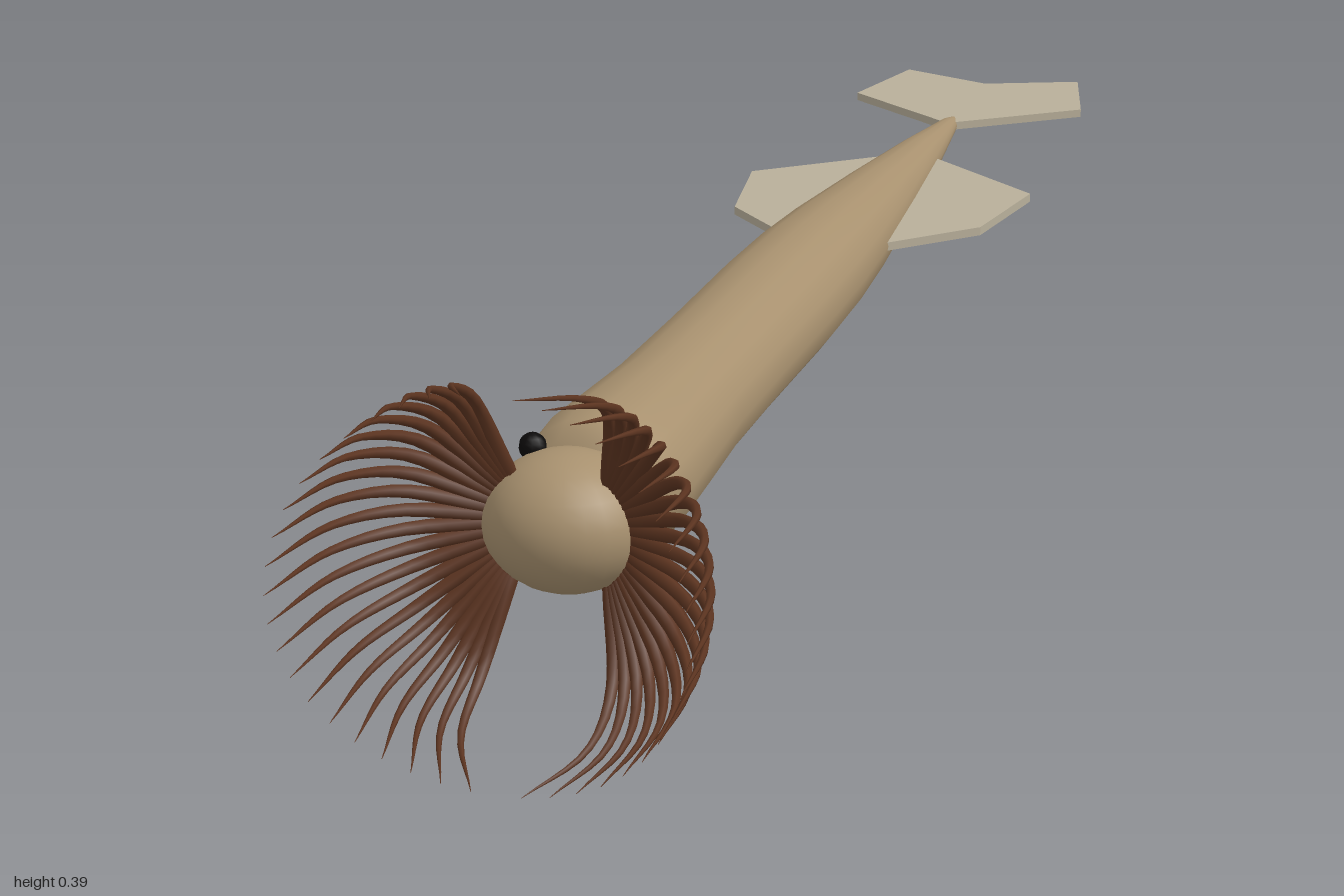
import * as THREE from 'three';

const AXIS = 0.195; // height of the body axis

const skin = new THREE.MeshStandardMaterial({ name: 'tan skin', color: 0xa8916f });
const fin = new THREE.MeshStandardMaterial({ name: 'pale fin', color: 0xb8af9a });
const bristle = new THREE.MeshStandardMaterial({ name: 'brown bristle', color: 0x5c3420 });
const eyeBlack = new THREE.MeshStandardMaterial({ name: 'eye black', color: 0x0c0a0a });

function add(parent, name, geometry, material, x = 0, y = 0, z = 0) {
  const mesh = new THREE.Mesh(geometry, material);
  mesh.name = name;
  mesh.position.set(x, y, z);
  parent.add(mesh);
  return mesh;
}

// Flat horizontal plate from an outline of [x, z] points
function plate(outline, thickness) {
  const shape = new THREE.Shape(outline.map(([x, z]) => new THREE.Vector2(x, -z)));
  const geometry = new THREE.ExtrudeGeometry(shape, { depth: thickness, bevelEnabled: false });
  geometry.translate(0, 0, -thickness / 2);
  return geometry.rotateX(-Math.PI / 2);
}

// Tube along a curve that narrows to a point
function taperedTube(points, radius, steps = 14, sides = 6) {
  const curve = new THREE.CatmullRomCurve3(points);
  const geometry = new THREE.TubeGeometry(curve, steps, radius, sides);
  const pos = geometry.attributes.position;
  const v = new THREE.Vector3();
  for (let i = 0; i < pos.count; i++) {
    const t = Math.floor(i / (sides + 1)) / steps;
    const centre = curve.getPointAt(t);
    v.fromBufferAttribute(pos, i).sub(centre).multiplyScalar(1 - 0.97 * Math.pow(t, 1.3)).add(centre);
    pos.setXYZ(i, v.x, v.y, v.z);
  }
  return geometry;
}

export function createModel() {
  const model = new THREE.Group();
  model.name = 'arrowWorm';

  // Long body, slightly flattened, tapering to the tail
  const profile = [
    [0, -0.805], [0.012, -0.75], [0.029, -0.6], [0.048, -0.4], [0.065, -0.2], [0.072, -0.08],
    [0.075, 0.05], [0.075, 0.25], [0.077, 0.42], [0.083, 0.53], [0.087, 0.61], [0.083, 0.65],
    [0.073, 0.69], [0, 0.7],
  ].map(([r, z]) => new THREE.Vector2(r, z));
  const bodyGeometry = new THREE.LatheGeometry(profile, 16).rotateX(Math.PI / 2).scale(1, 0.88, 1);
  add(model, 'body', bodyGeometry, skin, 0, AXIS);

  // Rounded head
  const headGeometry = new THREE.SphereGeometry(1, 24, 16).scale(0.085, 0.07, 0.08);
  add(model, 'head', headGeometry, skin, 0, AXIS, 0.74);

  // Tail fin with a notched rear edge
  const tail = [[0, -0.745], [0.153, -0.86], [0.118, -1], [0, -0.955], [-0.118, -1], [-0.153, -0.86]];
  add(model, 'tailFin', plate(tail, 0.01), fin, 0, AXIS);

  for (const side of [1, -1]) {
    const label = side > 0 ? 'left' : 'right';

    // Side fin
    const outline = [[0.0, -0.6], [0.178, -0.455], [0.153, -0.3], [0.06, -0.205], [0.0, -0.205]];
    add(model, label + 'SideFin', plate(outline.map(([x, z]) => [x * side, z]), 0.01), fin, 0, AXIS);

    // Eye
    add(model, label + 'Eye', new THREE.SphereGeometry(0.014, 10, 8), eyeBlack, side * 0.044, AXIS + 0.062, 0.715);

    // Fan of curved grasping spines
    const fan = new THREE.Group();
    fan.name = label + 'GraspingSpines';
    fan.position.y = AXIS;
    model.add(fan);
    const count = 21;
    for (let i = 0; i < count; i++) {
      const a = THREE.MathUtils.degToRad(-83 + (166 * i) / (count - 1));
      const c = Math.cos(a), s = Math.sin(a);
      const path = [
        [0.048 + 0.022 * c, 0.055 * s, 0.765],
        [0.055 + 0.09 * c, 0.14 * s, 0.81],
        [0.046 + 0.14 * c, 0.176 * s, 0.875],
        [0.203 * c, 0.196 * s, 1 - 0.05 * s * s],
      ].map(([x, y, z]) => new THREE.Vector3(x * side, y, z));
      add(fan, label + 'Spine', taperedTube(path, 0.0085), bristle);
    }
  }

  return model;
}
